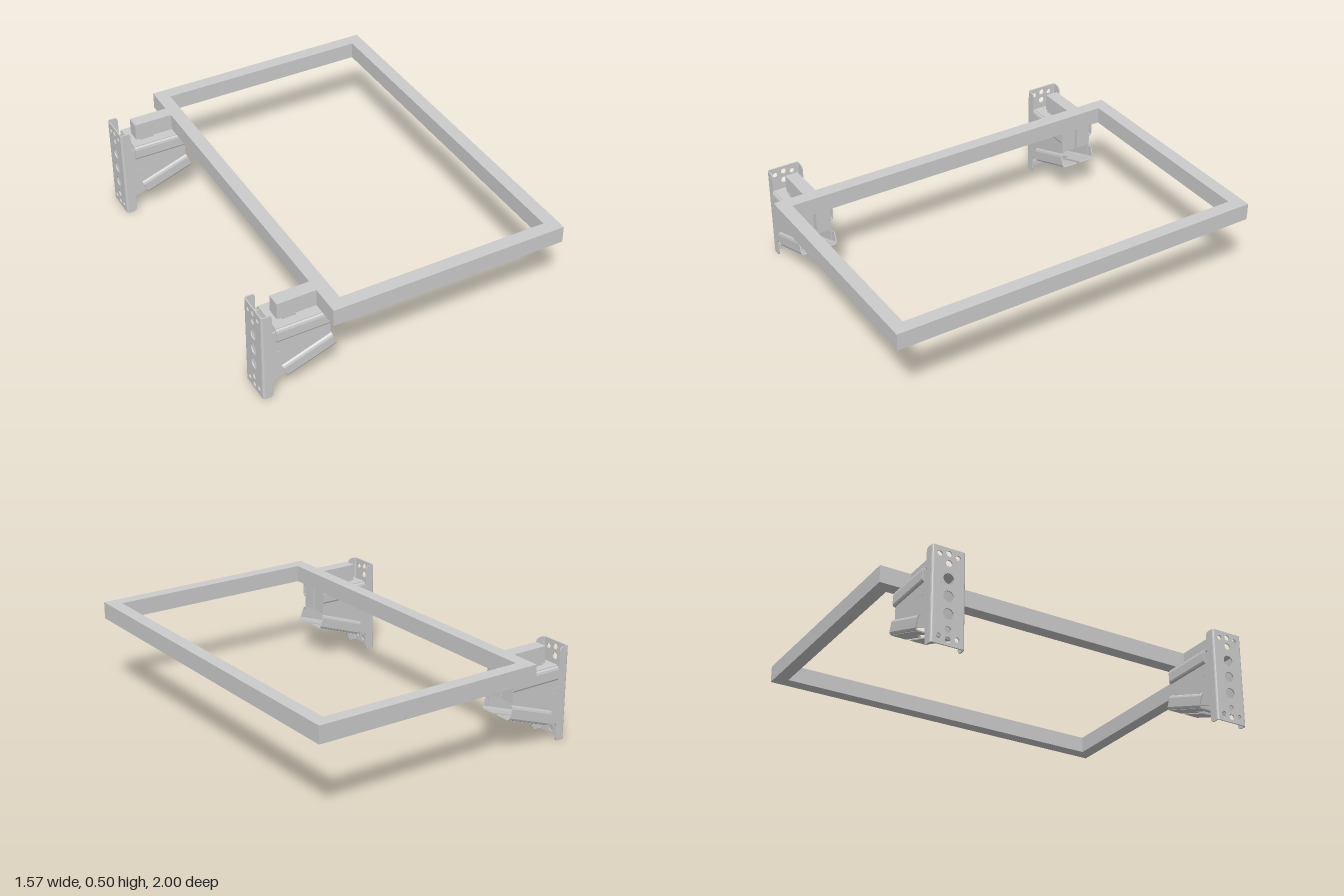
import * as THREE from 'three';

const T = 0.006; // sheet metal thickness
const material = new THREE.MeshStandardMaterial({ color: 0xcccccc, side: THREE.DoubleSide, flatShading: true });

function polygon(points) {
  return new THREE.Shape(points.map(([x, y]) => new THREE.Vector2(x, y)));
}

function hole(shape, x, y, r) {
  shape.holes.push(new THREE.Path().absarc(x, y, r, 0, Math.PI * 2, true));
}

function extrude(shape, depth) {
  return new THREE.ExtrudeGeometry(shape, { depth, bevelEnabled: false, curveSegments: 10 });
}

function add(parent, name, geometry, x = 0, y = 0, z = 0) {
  const mesh = new THREE.Mesh(geometry, material);
  mesh.name = name;
  mesh.position.set(x, y, z);
  parent.add(mesh);
  return mesh;
}

// Closed outline of a bent sheet: the polyline plus a copy shifted sideways
function bentSheet(points, thickness = T) {
  const p = points.map(([x, y]) => new THREE.Vector2(x, y));
  const inner = p.map((v, i) => {
    const d = p[Math.min(i + 1, p.length - 1)].clone().sub(p[Math.max(i - 1, 0)]).normalize();
    return new THREE.Vector2(v.x - d.y * thickness, v.y + d.x * thickness);
  });
  return new THREE.Shape([...p, ...inner.reverse()]);
}

// Horizontal plate of length L with a keyhole slot open at its +x end
function slottedPlate(L, w, a, b, wide, narrow) {
  const half = [[0, w], [L, w], [L, narrow], [b, narrow], [b, wide], [a, wide]];
  const other = half.map(([x, y]) => [x, -y]).reverse();
  return extrude(polygon([...half, ...other]), T).rotateX(-Math.PI / 2);
}

// Pair of bulged edges running along x, from a (z, y) half profile
function bulgedEdges(parent, name, profile, length, x, y) {
  for (const s of [1, -1]) {
    const points = profile.map(([z, h]) => [z * s, h]);
    const geometry = extrude(bentSheet(points, T * s), length).rotateY(Math.PI / 2);
    add(parent, name, geometry, x, y);
  }
}

function createBracket() {
  const bracket = new THREE.Group();
  bracket.name = 'bracket';

  // Perforated back web
  const web = polygon([[-0.077, 0], [0.077, 0], [0.077, 0.5], [-0.077, 0.5]]);
  for (const s of [-1, 1]) {
    const at = (y) => 0.25 + s * y;
    hole(web, 0.048, at(0.21), 0.013);
    hole(web, -0.048, at(0.21), 0.013);
    hole(web, 0, at(0.22), 0.015);
    hole(web, 0, at(0.17), 0.017);
    hole(web, 0, at(0.09), 0.028);
  }
  hole(web, 0, 0.25, 0.028);
  add(bracket, 'backPlate', extrude(web, T).rotateY(Math.PI / 2), -0.785);

  // Side cheeks and the bends joining them to the web
  const cheek = polygon([
    [-0.774, 0], [-0.745, 0], [-0.735, 0.005], [-0.73, 0.016], [-0.73, 0.085], [-0.724, 0.098],
    [-0.67, 0.12], [-0.43, 0.21], [-0.43, 0.408], [-0.712, 0.408], [-0.716, 0.395], [-0.73, 0.39],
    [-0.73, 0.484], [-0.735, 0.495], [-0.745, 0.5], [-0.774, 0.5],
  ]);
  hole(cheek, -0.7, 0.268, 0.004);
  const bend = [0, 1, 2, 3, 4].map((i) => {
    const a = (i / 4) * Math.PI / 2;
    return [-0.773 - 0.012 * Math.sin(a), 0.076 + 0.012 * Math.cos(a)];
  });
  for (const s of [1, -1]) {
    add(bracket, 'sideCheek', extrude(cheek, T), 0, 0, s * 0.085 - T / 2);
    const corner = bentSheet(bend.map(([x, z]) => [x, z * s]), T * s);
    add(bracket, 'cornerBend', extrude(corner, 0.5).rotateX(-Math.PI / 2));
  }

  // Upper rail: slotted seat, bulged edges and folded end flaps
  add(bracket, 'upperSeat', slottedPlate(0.29, 0.09, 0.055, 0.13, 0.045, 0.007), -0.715, 0.408);
  const upper = [[0.085, 0.332], [0.096, 0.337], [0.1, 0.346], [0.1, 0.392], [0.097, 0.404], [0.086, 0.414]];
  bulgedEdges(bracket, 'upperEdge', upper, 0.29, -0.715, 0);
  for (const s of [1, -1]) {
    add(bracket, 'endFlap', new THREE.BoxGeometry(T, 0.135, 0.075), -0.434, 0.342, s * 0.045);
  }

  // Lower inclined channel
  const channel = new THREE.Group();
  channel.name = 'lowerChannel';
  channel.position.set(-0.66, 0.104, 0);
  channel.rotation.z = THREE.MathUtils.degToRad(19.5);
  add(channel, 'channelFloor', slottedPlate(0.275, 0.092, 0.046, 0.12, 0.036, 0.01));
  const lower = [[0.088, 0], [0.097, 0.004], [0.102, 0.014], [0.102, 0.062], [0.098, 0.073], [0.085, 0.079]];
  bulgedEdges(channel, 'channelEdge', lower, 0.275, 0, 0);
  bracket.add(channel);

  // Stub arm resting on the seat and meeting the frame
  add(bracket, 'stubArm', new THREE.BoxGeometry(0.205, 0.09, 0.07), -0.5775, 0.46);
  return bracket;
}

export function createModel() {
  const model = new THREE.Group();
  model.name = 'wallMountedFrame';

  // Rectangular frame
  const rim = polygon([[-0.475, -1], [0.785, -1], [0.785, 1], [-0.475, 1]]);
  rim.holes.push(polygon([[-0.405, -0.93], [-0.405, 0.93], [0.715, 0.93], [0.715, -0.93]]));
  add(model, 'frame', extrude(rim, 0.09).rotateX(-Math.PI / 2), 0, 0.415);

  // Two wall brackets
  for (const s of [1, -1]) {
    const bracket = createBracket();
    bracket.position.z = s * 0.803;
    model.add(bracket);
  }
  return model;
}
